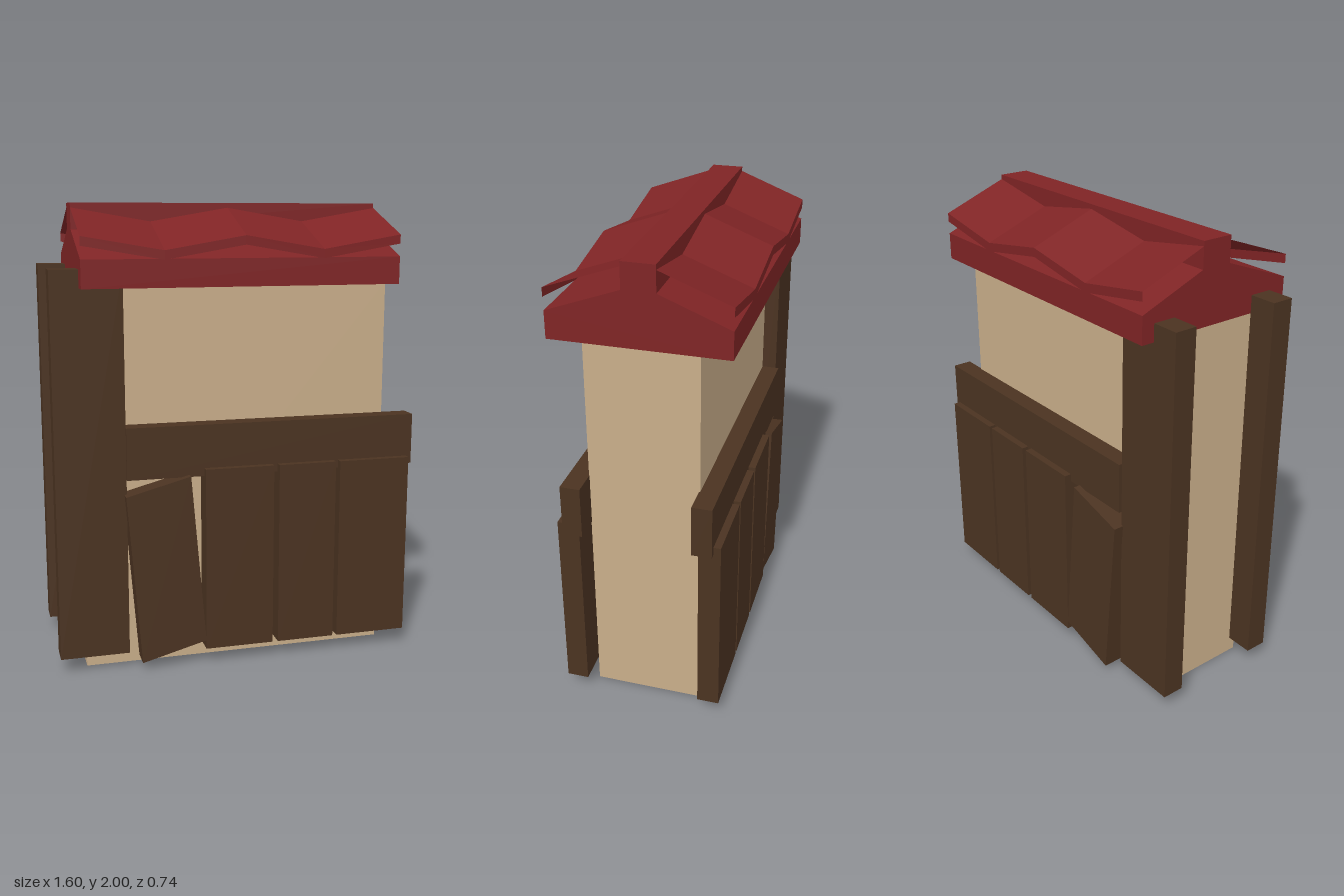
import * as THREE from 'three';

export function createModel() {
  const model = new THREE.Group();
  const material = (name, color, side = THREE.FrontSide) => {
    const m = new THREE.MeshStandardMaterial({ color, side });
    m.name = name;
    return m;
  };
  const plaster = material('tan plaster', 0xc9ae8a, THREE.DoubleSide);
  const wood = material('dark wood', 0x4b3321);
  const red = material('red roof', 0x7f2425, THREE.DoubleSide);

  const add = (name, geometry, mat) => {
    const mesh = new THREE.Mesh(geometry, mat);
    mesh.name = name;
    model.add(mesh);
    return mesh;
  };
  // Prism through a list of [x, y] corners, from z0 to z1
  const prism = (points, z0, z1) => {
    const shape = new THREE.Shape(points.map(p => new THREE.Vector2(...p)));
    return new THREE.ExtrudeGeometry(shape, { depth: z1 - z0, bevelEnabled: false }).translate(0, 0, z0);
  };
  const rect = (x0, x1, y0, y1) => [[x0, y0], [x1, y0], [x1, y1], [x0, y1]];

  // Wall shell, open underneath (box faces: +x, -x, +y, -y, +z, -z)
  const shell = new THREE.BoxGeometry(1.36, 1.66, 0.465).translate(0, 0.83, -0.0125);
  const index = Array.from(shell.index.array);
  index.splice(18, 6);
  shell.setIndex(index);
  shell.clearGroups();
  add('walls', shell, plaster);

  // Timber cladding on both long sides: [name, outline, z inner, z outer]
  const timbers = [
    ['post', rect(-0.8, -0.5, 0.07, 1.735), 0.19, 0.288],
    ['beam', rect(-0.5, 0.795, 0.85, 1.075), 0.218, 0.302],
    ['loosePlank', [[-0.45, 0.035], [-0.165, 0.11], [-0.23, 0.86], [-0.51, 0.785]], 0.24, 0.333],
    ['plank', rect(-0.165, 0.14, 0.07, 0.885), 0.24, 0.333],
    ['plank', rect(0.165, 0.425, 0.07, 0.885), 0.24, 0.333],
    ['plank', rect(0.445, 0.77, 0.07, 0.885), 0.24, 0.333],
  ];
  for (const [name, outline, z0, z1] of timbers) {
    add(name + 'Front', prism(outline, z0, z1), wood);
    add(name + 'Back', prism(outline, -z1 - 0.022, -z0 - 0.022), wood);
  }

  // Solid roof with a raised ridge; its profile is drawn in z, y and turned along x
  const profile = [
    [0.367, 1.66], [0.367, 1.776], [0.06, 1.89], [0.06, 2],
    [-0.077, 2], [-0.077, 1.89], [-0.367, 1.776], [-0.367, 1.66],
  ].map(([z, y]) => [-z, y]);
  add('roof', prism(profile, -0.68, 0.68).rotateY(Math.PI / 2), red);

  // Wavy roofing sheets: a zigzag slope with a folded lip at the eave
  const sheet = (ridgeZ, eaveZ) => {
    const rows = [[ridgeZ, 1.98], [eaveZ, 1.868], [eaveZ, 1.83]];
    const position = [];
    const point = (row, i) => [-0.68 + i * 0.34, rows[row][1] - (i % 2) * 0.058, rows[row][0]];
    for (let row = 0; row < 2; row++) {
      for (let i = 0; i < 4; i++) {
        const a = point(row, i), b = point(row, i + 1);
        const c = point(row + 1, i + 1), d = point(row + 1, i);
        position.push(...(eaveZ > 0 ? [a, d, c, a, c, b] : [a, c, d, a, b, c]).flat());
      }
    }
    const g = new THREE.BufferGeometry();
    g.setAttribute('position', new THREE.Float32BufferAttribute(position, 3));
    g.computeVertexNormals();
    return g;
  };
  add('roofSheetFront', sheet(0.06, 0.368), red);
  add('roofSheetBack', sheet(-0.077, -0.368), red);

  return model;
}
